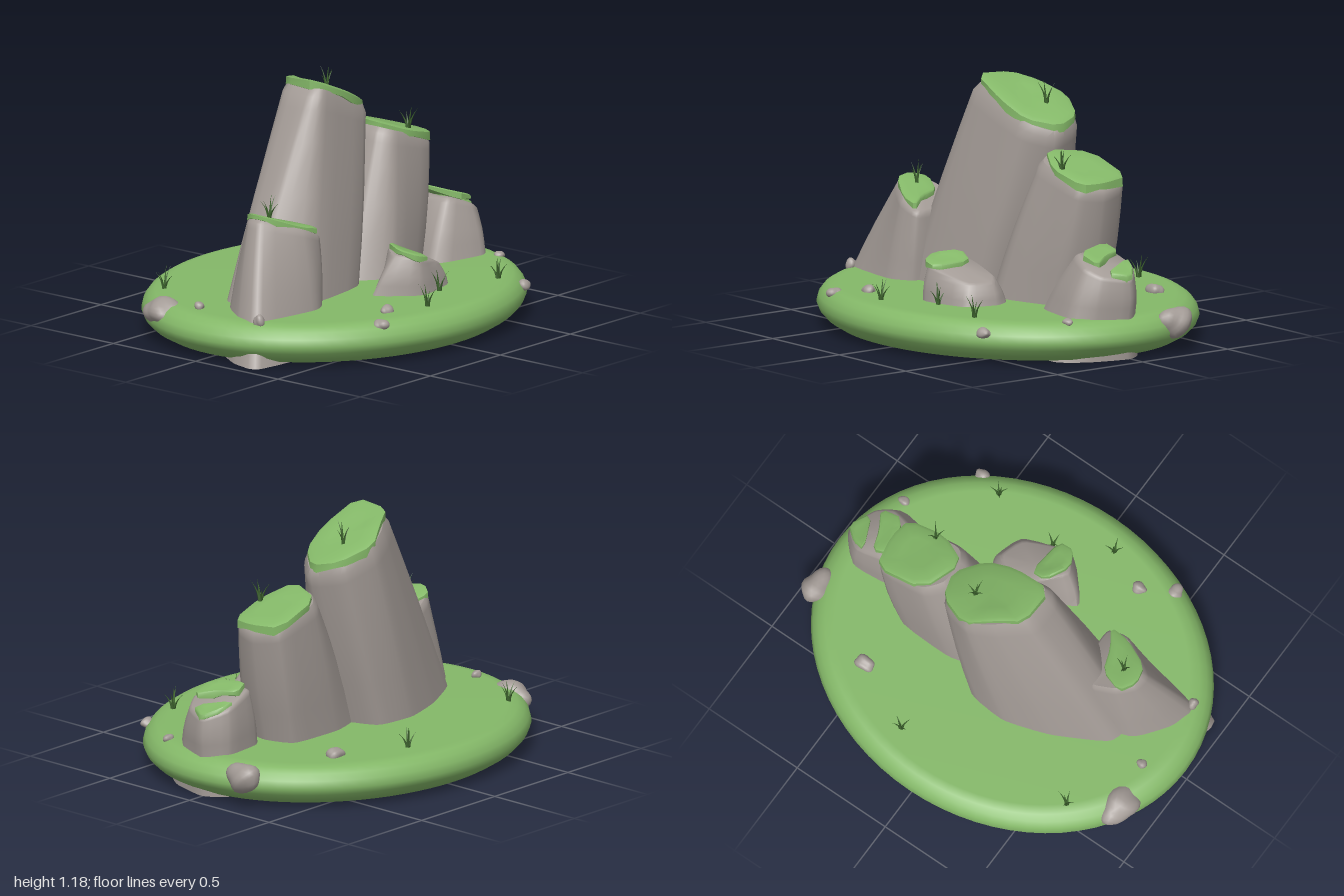
import * as THREE from 'three';
import { mergeVertices, mergeGeometries, toCreasedNormals } from 'three/addons/utils/BufferGeometryUtils.js';

const moss = new THREE.MeshStandardMaterial({ name: 'moss green', color: 0x84b868 });
const stone = new THREE.MeshStandardMaterial({ name: 'warm grey stone', color: 0xa29a95 });
const blade = new THREE.MeshStandardMaterial({ name: 'dark grass green', color: 0x3f662f, side: THREE.DoubleSide });

const V = (x, y, z) => new THREE.Vector3(x, y, z);
const centre = (ring) => ring.reduce((s, p) => s.add(p), V(0, 0, 0)).divideScalar(ring.length);

// Cut the corners of a closed outline to round it
function cut(ring, f) {
  return ring.flatMap((p, i) => {
    const q = ring[(i + 1) % ring.length];
    return [p.clone().lerp(q, f), q.clone().lerp(p, f)];
  });
}
const round = (ring) => cut(cut(ring, 0.14), 0.25);

// Closed skin through rings ordered bottom to top
function loft(rings, crease) {
  const n = rings[0].length, pos = [], idx = [];
  const first = centre(rings[0]), last = centre(rings[rings.length - 1]);
  rings.forEach((r) => r.forEach((p) => pos.push(p.x, p.y, p.z)));
  const lo = pos.length / 3, hi = lo + 1;
  pos.push(...first.toArray(), ...last.toArray());
  for (let j = 0; j < n; j++) {
    const k = (j + 1) % n;
    for (let i = 0; i < rings.length - 1; i++) {
      const a = i * n + j, b = i * n + k;
      idx.push(a, a + n, b, b, a + n, b + n);
    }
    const t = (rings.length - 1) * n;
    idx.push(lo, j, k, t + j, hi, t + k);
  }
  const g = new THREE.BufferGeometry();
  g.setAttribute('position', new THREE.Float32BufferAttribute(pos, 3));
  g.setIndex(idx);
  g.computeVertexNormals();
  return toCreasedNormals(g, crease);
}

// Leaning boulder: foot outline [x, z] at ground level, crown outline [x, y, z], going down to y = floor
function rock(foot, crown, floor, bulge) {
  const low = round(foot.map(([x, z]) => V(x, 0.2, z)));
  const top = round(crown.map(([x, y, z]) => V(x, y, z)));
  const mid = centre(top);
  const ring = (t) => {
    const r = low.map((p, i) => p.clone().lerp(top[i], t));
    const c = centre(r), s = 1 + bulge * Math.sin(Math.PI * Math.max(t, 0));
    return r.map((p) => V(c.x + (p.x - c.x) * s, p.y, c.z + (p.z - c.z) * s));
  };
  const base = low.map((p, i) => p.clone().lerp(top[i], (floor - 0.2) / (top[i].y - 0.2)));
  const rim = top.map((p) => p.clone().lerp(mid, 0.07));
  return loft([base, ...[0, 0.25, 0.5, 0.75, 0.9, 0.96].map(ring), rim], 0.9);
}

// Moss blanket draped over a crown outline
function cap(points, thick) {
  const edge = cut(points.map((p) => V(...p)), 0.2);
  const c = centre(edge);
  const ring = (s, dy) => edge.map((p, i) => {
    const q = c.clone().lerp(p, s);
    q.y += dy - (dy < 0 ? 0.008 * Math.sin(i * 1.9) : 0);
    return q;
  });
  return loft([ring(0.9, -thick), ring(1.03, -thick * 0.8), ring(1.02, thick * 0.4), ring(0.9, thick * 0.7), ring(0.5, thick * 0.6)], 0.8);
}

// Uneven smooth pebble
function pebble(rx, ry, rz, seed) {
  let g = new THREE.IcosahedronGeometry(1, 3);
  g.deleteAttribute('uv');
  g.deleteAttribute('normal');
  g = mergeVertices(g);
  const p = g.attributes.position;
  for (let i = 0; i < p.count; i++) {
    const x = p.getX(i), y = p.getY(i), z = p.getZ(i);
    const s = 1 + 0.12 * Math.sin(3 * x + seed) + 0.1 * Math.sin(4 * z + 2 * y + seed * 2);
    p.setXYZ(i, x * s * rx, y * s * ry, z * s * rz);
  }
  g.computeVertexNormals();
  return g;
}

// Tuft of bent blades
function tuft(turn) {
  const blades = [];
  for (let i = 0; i < 5; i++) {
    const h = [0.11, 0.085, 0.1, 0.08, 0.12][i], out = i === 4 ? 0.012 : 0.042;
    const g = new THREE.ConeGeometry(0.008, h, 4, 4);
    g.translate(0, h / 2, 0);
    const p = g.attributes.position;
    for (let k = 0; k < p.count; k++) p.setX(k, p.getX(k) + 0.004 + out * (p.getY(k) / h) ** 2);
    g.rotateY(turn + i * Math.PI / 2 + (i % 2) * 0.25);
    g.computeVertexNormals();
    blades.push(g);
  }
  return mergeGeometries(blades);
}

export function createModel() {
  const group = new THREE.Group();
  const add = (name, geometry, material, x = 0, y = 0, z = 0) => {
    const m = new THREE.Mesh(geometry, material);
    m.name = name;
    m.position.set(x, y, z);
    group.add(m);
    return m;
  };

  // Oval grassy mound with rounded rim
  const profile = [[0, 0.004], [0.84, 0.004], [0.9, 0.014], [0.95, 0.04], [0.985, 0.072], [1, 0.105],
    [0.99, 0.14], [0.965, 0.17], [0.93, 0.19], [0.88, 0.2], [0, 0.2]].map(([x, y]) => new THREE.Vector2(x, y));
  add('grassMound', new THREE.LatheGeometry(profile, 72), moss, -0.01).scale.set(0.985, 1, 0.82);

  // Boulders, outlines run left, back, right, front
  add('tallBoulder', rock(
    [[-0.68, 0.04], [-0.66, -0.11], [-0.4, -0.25], [-0.18, -0.32], [0.03, -0.3], [0.1, -0.1], [-0.01, 0.18], [-0.45, 0.24]],
    [[-0.2, 1.15, 0.02], [-0.2, 1.15, -0.14], [-0.06, 1.12, -0.25], [0.06, 1.07, -0.3], [0.22, 0.99, -0.24], [0.28, 0.95, -0.07], [0.17, 1.0, 0.05], [-0.17, 1.15, 0.07]],
    0.05, 0.03), stone);
  add('middleBoulder', rock(
    [[0.0, 0.1], [0.02, -0.15], [0.2, -0.21], [0.5, -0.2], [0.55, -0.05], [0.5, 0.12], [0.16, 0.22]],
    [[0.28, 0.87, 0.02], [0.28, 0.87, -0.12], [0.36, 0.85, -0.21], [0.61, 0.77, -0.21], [0.65, 0.74, -0.06], [0.61, 0.76, 0.07], [0.33, 0.85, 0.08]],
    0, 0.05), stone);
  add('leftBoulder', rock(
    [[-0.87, 0.26], [-0.84, 0.12], [-0.72, -0.04], [-0.5, -0.1], [-0.36, 0.05], [-0.39, 0.26], [-0.5, 0.32]],
    [[-0.68, 0.63, 0.12], [-0.67, 0.63, 0.04], [-0.6, 0.61, -0.02], [-0.47, 0.56, -0.06], [-0.39, 0.53, 0.08], [-0.38, 0.52, 0.24], [-0.5, 0.57, 0.25]],
    0, 0.03), stone);
  add('rightBoulder', rock(
    [[0.48, 0.2], [0.54, 0.0], [0.62, -0.08], [0.83, -0.1], [0.92, 0.0], [0.86, 0.17], [0.77, 0.26]],
    [[0.66, 0.48, 0.13], [0.64, 0.47, 0.0], [0.66, 0.48, -0.07], [0.82, 0.42, -0.09], [0.92, 0.37, 0.0], [0.86, 0.39, 0.13], [0.78, 0.43, 0.17]],
    0, 0.06), stone);
  add('frontBoulder', rock(
    [[-0.16, 0.34], [0.02, 0.28], [0.1, 0.21], [0.27, 0.22], [0.32, 0.31], [0.27, 0.47], [0.01, 0.53]],
    [[-0.05, 0.39, 0.4], [0.02, 0.4, 0.3], [0.1, 0.36, 0.26], [0.22, 0.32, 0.26], [0.28, 0.3, 0.31], [0.24, 0.3, 0.43], [0.02, 0.37, 0.5]],
    0, 0.05), stone);

  // Moss on the crowns
  const caps = {
    tallMoss: [[-0.18, 1.16, -0.15], [-0.06, 1.13, -0.22], [0.06, 1.07, -0.29], [0.22, 1.01, -0.22], [0.26, 0.98, -0.09], [0.16, 1.01, 0.03], [0.02, 1.08, 0.06], [-0.19, 1.17, 0.04]],
    middleMoss: [[0.28, 0.88, 0.0], [0.36, 0.86, -0.2], [0.61, 0.78, -0.21], [0.64, 0.77, -0.05], [0.62, 0.77, 0.06], [0.43, 0.82, 0.08]],
    leftMoss: [[-0.67, 0.64, 0.06], [-0.62, 0.62, -0.01], [-0.5, 0.58, 0.04], [-0.46, 0.57, 0.15], [-0.4, 0.55, 0.24], [-0.5, 0.57, 0.23], [-0.65, 0.63, 0.15]],
    rightMoss: [[0.66, 0.5, -0.04], [0.74, 0.47, -0.06], [0.77, 0.46, 0.03], [0.83, 0.44, 0.13], [0.71, 0.48, 0.14]],
    rightMossPatch: [[0.78, 0.44, -0.08], [0.85, 0.41, -0.06], [0.92, 0.38, 0.0], [0.86, 0.4, 0.1]],
    frontMoss: [[-0.04, 0.4, 0.42], [0.02, 0.41, 0.3], [0.1, 0.37, 0.31], [0.08, 0.36, 0.5], [0.0, 0.38, 0.5]],
  };
  for (const [name, points] of Object.entries(caps)) {
    add(name, cap(points, name === 'tallMoss' || name === 'middleMoss' ? 0.028 : 0.018), moss);
  }

  // Pebbles: position, then radii
  [[-0.86, 0.15, -0.32, 0.075, 0.065, 0.11], [0.91, 0.145, -0.26, 0.075, 0.065, 0.085],
    [-0.85, 0.205, 0.26, 0.025, 0.03, 0.025], [-0.83, 0.21, -0.12, 0.022, 0.022, 0.025],
    [0.5, 0.205, -0.46, 0.045, 0.035, 0.035], [-0.32, 0.205, 0.58, 0.035, 0.025, 0.03],
    [-0.46, 0.18, 0.67, 0.04, 0.025, 0.035], [0.61, 0.15, 0.625, 0.035, 0.025, 0.03],
    [0.82, 0.195, 0.3, 0.025, 0.02, 0.025],
  ].forEach(([x, y, z, rx, ry, rz], i) => add('pebble', pebble(rx, ry, rz, i * 1.3), stone, x, y, z));

  // Grass tufts on the mound and the crowns
  [[-0.66, 0.19, -0.48], [0.18, 0.19, -0.62], [-0.12, 0.19, 0.66], [0.13, 0.19, 0.52], [0.48, 0.19, 0.58],
    [0.1, 1.06, -0.14], [0.46, 0.82, 0.05], [-0.58, 0.61, 0.09],
  ].forEach(([x, y, z], i) => add('grassTuft', tuft(i * 0.9), blade, x, y, z));

  return group;
}
